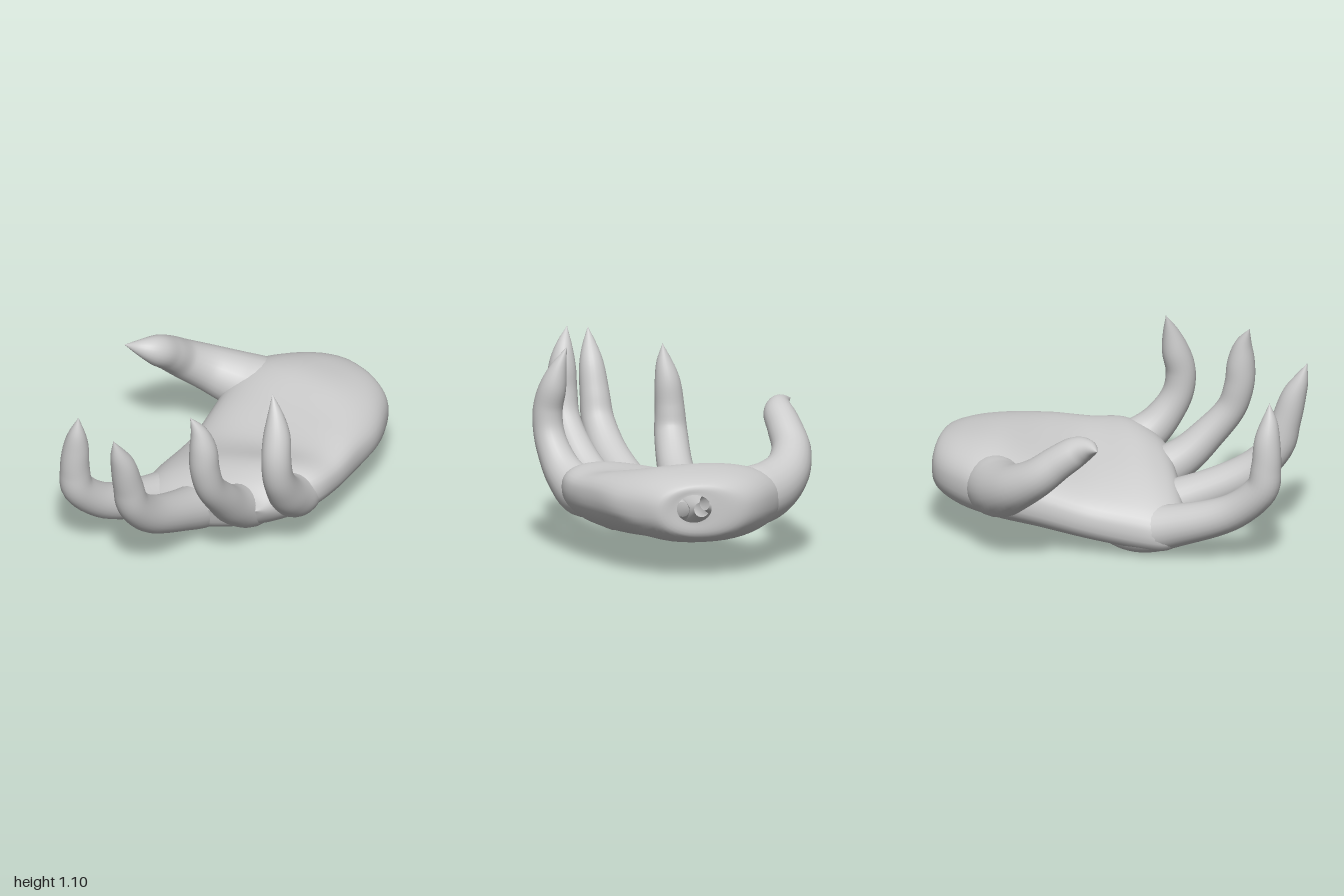
import * as THREE from 'three';

const skin = new THREE.MeshStandardMaterial({ color: 0xcccccc, side: THREE.DoubleSide });

// Smooth interpolation through rows of numbers, t from 0 to 1
function sampleRows(rows, t) {
  const f = t * (rows.length - 1);
  const i = Math.min(Math.floor(f), rows.length - 2);
  const u = f - i;
  const at = k => rows[Math.max(0, Math.min(rows.length - 1, k))];
  return rows[i].map((_, c) => {
    const [a, b, d, e] = [at(i - 1)[c], at(i)[c], at(i + 1)[c], at(i + 2)[c]];
    return b + 0.5 * u * (d - a + u * (2 * a - 5 * b + 4 * d - e + u * (3 * (b - d) + e - a)));
  });
}

// Skin a list of closed rings, each holding the same number of points
function loft(name, rings) {
  const n = rings[0].length;
  const index = [];
  for (let i = 0; i < rings.length - 1; i++) {
    for (let j = 0; j < n; j++) {
      const a = i * n + j, b = i * n + (j + 1) % n;
      index.push(a, b, a + n, b, b + n, a + n);
    }
  }
  const geometry = new THREE.BufferGeometry().setFromPoints(rings.flat());
  geometry.setIndex(index);
  geometry.computeVertexNormals();
  const mesh = new THREE.Mesh(geometry, skin);
  mesh.name = name;
  return mesh;
}

// Palm sections from the open wrist to the knuckles: x, y, z of centre,
// half width, half height, rise towards +x, slant in z, hollow of the upper
// side, corner exponent (1 is a plain ellipse)
function palm() {
  const rows = [
    [0.27, 0.385, -0.950, 0.09, 0.075, 0.00, 0.28, 0, 1],
    [0.22, 0.370, -0.945, 0.24, 0.145, 0.00, 0.22, 0, 0.9],
    [0.16, 0.365, -0.82, 0.375, 0.19, 0.00, 0.12, 0, 0.85],
    [0.115, 0.360, -0.63, 0.485, 0.205, 0.02, 0.04, 0, 0.88],
    [0.15, 0.325, -0.40, 0.48, 0.20, 0.10, 0.00, 0.03, 0.82],
    [0.17, 0.280, -0.17, 0.48, 0.187, 0.18, -0.08, 0.04, 0.82],
    [0.16, 0.257, 0.06, 0.485, 0.185, 0.23, -0.2, 0, 0.82],
    [0.13, 0.237, 0.20, 0.44, 0.165, 0.25, -0.22, 0, 0.85],
    [0.12, 0.230, 0.285, 0.37, 0.11, 0.25, -0.22, 0, 0.95],
    [0.12, 0.235, 0.32, 0.31, 0.003, 0.25, -0.22, 0, 1],
  ];
  const rings = [];
  for (let i = 0; i <= 54; i++) {
    const [x, y, z, w, h, rise, slant, hollow, power] = sampleRows(rows, i / 54);
    const soften = v => Math.sign(v) * Math.abs(v) ** power;
    const ring = [];
    for (let j = 0; j < 48; j++) {
      const angle = j / 48 * Math.PI * 2;
      const u = soften(Math.cos(angle)), v = soften(Math.sin(angle));
      const dent = v > 0 ? hollow * (1 - u * u) * v : 0;
      ring.push(new THREE.Vector3(x + w * u, y + h * v + rise * w * u - dent, z + slant * w * u));
    }
    rings.push(ring);
  }
  return loft('palm', rings);
}

// Finger rows: x, y, z and radius. The root starts thin inside the palm and
// swells out through its skin; the last row is the claw tip.
function finger(name, rows) {
  const steps = 50, sides = 24;
  const samples = Array.from({ length: steps + 1 }, (_, i) => sampleRows(rows, i / steps));
  const points = samples.map(s => new THREE.Vector3(s[0], s[1], s[2]));
  const normal = new THREE.Vector3(0, 1, 0);
  const rings = points.map((p, i) => {
    const tangent = points[Math.min(i + 1, steps)].clone().sub(points[Math.max(i - 1, 0)]).normalize();
    normal.addScaledVector(tangent, -normal.dot(tangent)).normalize();
    const side = tangent.clone().cross(normal);
    const r = Math.max(samples[i][3], 0.001);
    return Array.from({ length: sides }, (_, j) => {
      const a = j / sides * Math.PI * 2;
      return p.clone().addScaledVector(normal, r * Math.cos(a)).addScaledVector(side, r * Math.sin(a));
    });
  });
  return loft(name, rings);
}

export function createModel() {
  const hand = new THREE.Group();
  hand.name = 'clawedHand';
  hand.add(
    palm(),
    finger('indexFinger', [
      [-0.06, 0.24, -0.28, 0.04], [-0.13, 0.175, -0.06, 0.11], [-0.175, 0.137, 0.13, 0.133],
      [-0.235, 0.19, 0.36, 0.112], [-0.295, 0.29, 0.62, 0.097], [-0.34, 0.44, 0.785, 0.09],
      [-0.345, 0.58, 0.815, 0.08], [-0.335, 0.72, 0.82, 0.07], [-0.32, 0.83, 0.83, 0.044],
      [-0.31, 0.93, 0.83, 0],
    ]),
    finger('middleFinger', [
      [0.05, 0.25, -0.28, 0.04], [0.04, 0.20, -0.06, 0.11], [0.04, 0.165, 0.14, 0.132],
      [0.05, 0.255, 0.42, 0.112], [0.058, 0.38, 0.68, 0.102], [0.06, 0.53, 0.835, 0.09],
      [0.06, 0.68, 0.885, 0.08], [0.06, 0.82, 0.925, 0.068], [0.055, 0.92, 0.965, 0.042],
      [0.05, 1.02, 1.0, 0],
    ]),
    finger('ringFinger', [
      [0.27, 0.29, -0.30, 0.04], [0.28, 0.265, -0.10, 0.11], [0.29, 0.235, 0.09, 0.135],
      [0.325, 0.34, 0.30, 0.108], [0.355, 0.48, 0.45, 0.09], [0.367, 0.62, 0.565, 0.08],
      [0.365, 0.76, 0.61, 0.08], [0.362, 0.89, 0.62, 0.074], [0.345, 1.00, 0.635, 0.046],
      [0.312, 1.10, 0.67, 0],
    ]),
    finger('littleFinger', [
      [0.45, 0.34, -0.38, 0.04], [0.48, 0.34, -0.18, 0.10], [0.512, 0.33, -0.01, 0.13],
      [0.555, 0.405, 0.12, 0.108], [0.58, 0.51, 0.21, 0.091], [0.592, 0.62, 0.265, 0.083],
      [0.592, 0.74, 0.277, 0.08], [0.575, 0.86, 0.25, 0.073], [0.55, 0.97, 0.228, 0.044],
      [0.512, 1.08, 0.205, 0],
    ]),
    finger('thumb', [
      [0.12, 0.37, -0.74, 0.04], [-0.04, 0.36, -0.69, 0.12], [-0.18, 0.365, -0.655, 0.16],
      [-0.32, 0.392, -0.60, 0.152], [-0.45, 0.458, -0.515, 0.126], [-0.53, 0.55, -0.395, 0.106],
      [-0.543, 0.645, -0.28, 0.094], [-0.55, 0.715, -0.18, 0.082], [-0.595, 0.75, -0.11, 0.05],
      [-0.67, 0.765, -0.06, 0],
    ]),
  );
  return hand;
}
